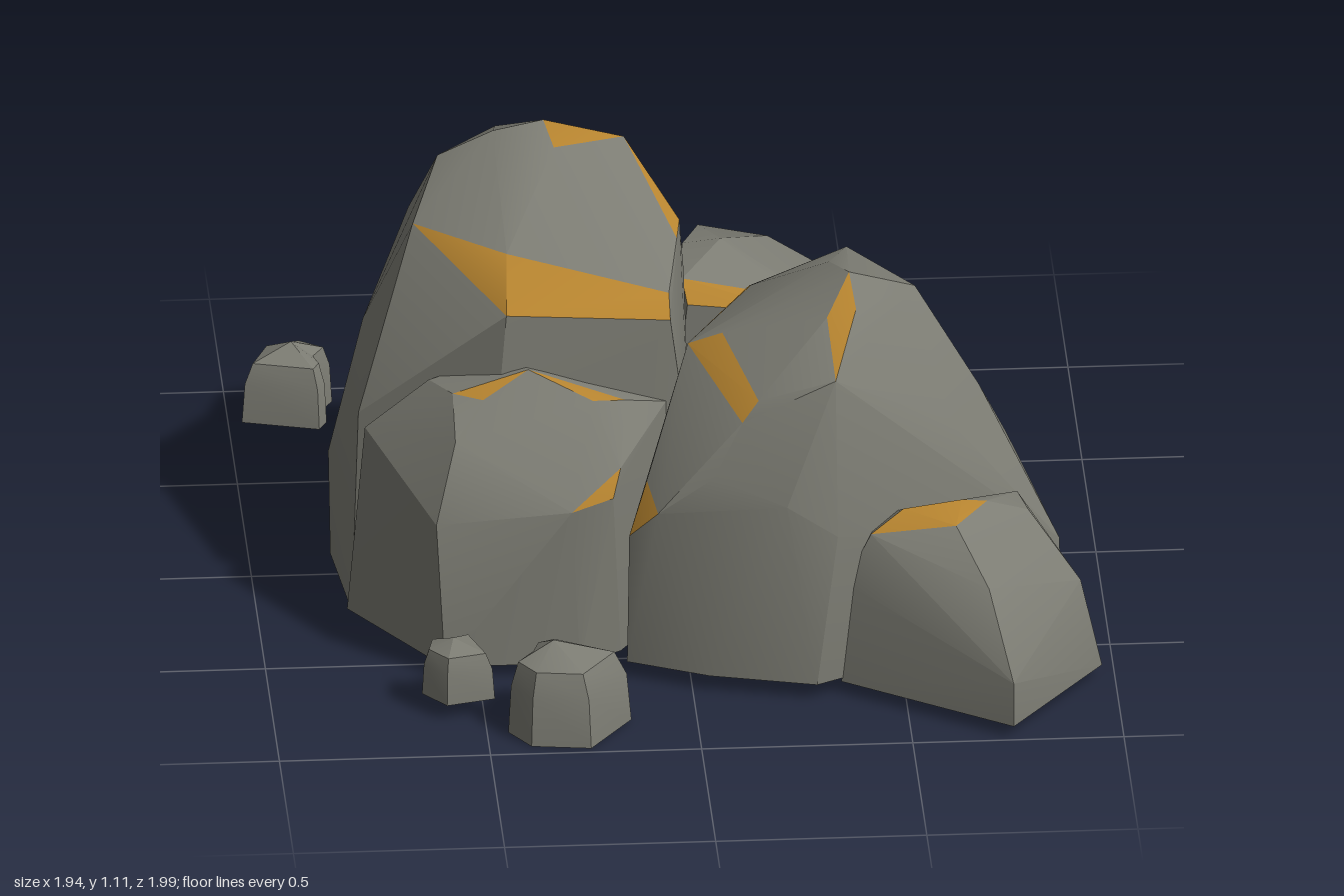
import * as THREE from 'three';
import { ConvexGeometry } from 'three/addons/geometries/ConvexGeometry.js';
import { toCreasedNormals } from 'three/addons/utils/BufferGeometryUtils.js';

const stone = new THREE.MeshStandardMaterial({ color: 0x7c7c73 });
const ochre = new THREE.MeshStandardMaterial({ color: 0xb5832f });
const key = (x, y, z) => [x, y, z].map((v) => Math.round(v * 1000)).join();

// Chiselled boulder: base outline [x, z] at the ground plus body points [x, y, z].
// Facets whose corners all lie on one seam become ochre.
function boulder(name, floor, base, body, seams) {
  const group = new THREE.Group();
  group.name = name;
  const all = [...base.map(([x, z]) => [x, floor, z]), ...body, ...seams.flat()];
  const hull = new ConvexGeometry(all.map((p) => new THREE.Vector3(...p)));
  const geo = toCreasedNormals(hull, 0.42);
  const pos = geo.attributes.position, nor = geo.attributes.normal;
  const sets = seams.map((s) => new Set(s.map((p) => key(...p))));
  const parts = [{ p: [], n: [] }, { p: [], n: [] }];
  for (let i = 0; i < pos.count; i += 3) {
    const tri = [i, i + 1, i + 2];
    const isSeam = sets.some((s) => tri.every((k) => s.has(key(pos.getX(k), pos.getY(k), pos.getZ(k)))));
    const part = parts[isSeam ? 1 : 0];
    for (const k of tri) {
      part.p.push(pos.getX(k), pos.getY(k), pos.getZ(k));
      part.n.push(nor.getX(k), nor.getY(k), nor.getZ(k));
    }
  }
  parts.forEach(({ p, n }, i) => {
    if (!p.length) return;
    const g = new THREE.BufferGeometry();
    g.setAttribute('position', new THREE.Float32BufferAttribute(p, 3));
    g.setAttribute('normal', new THREE.Float32BufferAttribute(n, 3));
    const mesh = new THREE.Mesh(g, i ? ochre : stone);
    mesh.name = name + (i ? 'Seam' : 'Stone');
    group.add(mesh);
  });
  return group;
}

// Notched pebble: an outline [x, z] lofted upward through shrinking rings to an off-centre peak
function pebble(name, y0, height, [px, pz], outline) {
  const rings = [[0, 1], [0.55, 0.94], [0.82, 0.78]].map(([t, s]) =>
    outline.map(([x, z]) => [px + (x - px) * s, y0 + t * height, pz + (z - pz) * s]));
  const top = [px, y0 + height, pz], bottom = [px, y0, pz];
  const v = [];
  outline.forEach((_, i) => {
    const j = (i + 1) % outline.length;
    for (let r = 0; r < 2; r++) {
      const a = rings[r][i], b = rings[r][j], c = rings[r + 1][j], d = rings[r + 1][i];
      v.push(a, d, c, a, c, b);
    }
    v.push(top, rings[2][j], rings[2][i], bottom, rings[0][i], rings[0][j]);
  });
  const g = new THREE.BufferGeometry();
  g.setAttribute('position', new THREE.Float32BufferAttribute(v.flat(), 3));
  const mesh = new THREE.Mesh(toCreasedNormals(g, 0.45), stone);
  mesh.name = name;
  return mesh;
}

export function createModel() {
  const model = new THREE.Group();
  model.name = 'rockCluster';

  // Tall boulder at the back
  model.add(boulder('tallBoulder', 0.03,
    [[-0.81, -0.05], [-0.68, -0.55], [-0.42, -0.6], [0, -0.6], [0, 0.3], [-0.5, 0.38], [-0.78, 0.26]],
    [[-0.69, 0.36, -0.585], [-0.42, 0.42, -0.65], [0, 0.36, -0.65], [0.02, 0.42, 0.3], [0.02, 0.8, 0.05],
      [-0.815, 0.3, -0.05], [-0.76, 0.52, 0.2], [-0.45, 0.5, 0.39], [-0.55, 1.02, -0.15], [-0.4, 0.99, -0.36],
      [-0.1, 0.93, -0.33], [0, 0.68, -0.48], [-0.6, 0.75, -0.43], [-0.73, 0.62, -0.1]],
    [[[-0.62, 0.93, 0.03], [-0.42, 0.84, 0.36], [-0.03, 0.805, 0.335], [-0.03, 0.85, 0.28], [-0.41, 0.935, 0.22]],
      [[-0.42, 1.09, -0.13], [-0.3, 1.11, -0.14], [-0.11, 1.065, -0.13], [0.01, 0.93, 0.05], [0, 0.91, 0.11], [-0.28, 1.075, -0.06]]]));

  // Lower boulder at the front, on the -x side
  model.add(boulder('frontBoulder', 0.03,
    [[-0.79, 0.25], [-0.58, 0.58], [-0.26, 0.58], [-0.16, 0.52], [-0.04, 0.33], [-0.1, 0.2]],
    [[-0.75, 0.52, 0.28], [-0.6, 0.4, 0.575], [-0.55, 0.58, 0.5], [-0.6, 0.65, 0.3], [-0.4, 0.69, 0.25],
      [-0.04, 0.59, 0.33], [-0.1, 0.6, 0.25]],
    [[[-0.55, 0.66, 0.4], [-0.37, 0.71, 0.385], [-0.14, 0.63, 0.4], [-0.22, 0.645, 0.43], [-0.48, 0.655, 0.43]],
      [[-0.28, 0.43, 0.59], [-0.16, 0.51, 0.52], [-0.18, 0.45, 0.56]]]));

  // Large boulder in the middle
  model.add(boulder('middleBoulder', 0.04,
    [[-0.15, 0.6], [0.04, 0.69], [0.29, 0.755], [0.35, 0.72], [0.89, 0.43], [0.78, 0.06], [0.65, -0.09], [0.05, 0], [0, 0.3]],
    [[-0.03, 0.57, 0.54], [0.05, 0.55, 0.675], [0.22, 0.5, 0.74], [0.34, 0.42, 0.74], [0.885, 0.25, 0.43],
      [0.78, 0.38, 0.12], [0.66, 0.36, -0.07], [0.4, 0.6, 0], [0.06, 0.6, 0.03], [0.7, 0.62, 0.35],
      [0.55, 0.87, 0.32], [0.4, 0.89, 0.14], [0.62, 0.6, 0.5], [0.02, 0.5, 0.25]],
    [[[0.17, 0.79, 0.13], [0.01, 0.75, 0.35], [0.12, 0.68, 0.645], [0.16, 0.725, 0.62], [0.09, 0.79, 0.38], [0.17, 0.82, 0.19]],
      [[0.35, 0.92, 0.28], [0.39, 0.94, 0.38], [0.4, 0.89, 0.48], [0.34, 0.79, 0.66], [0.33, 0.88, 0.5]],
      [[-0.145, 0.37, 0.6], [-0.08, 0.45, 0.65], [-0.1, 0.49, 0.55]]]));

  // Small boulder at the front corner
  model.add(boulder('cornerBoulder', 0.03,
    [[0.35, 0.72], [0.74, 0.99], [0.97, 0.67], [0.8, 0.46], [0.42, 0.5]],
    [[0.36, 0.28, 0.7], [0.74, 0.14, 0.985], [0.69, 0.33, 0.86], [0.92, 0.25, 0.66], [0.8, 0.41, 0.6],
      [0.45, 0.38, 0.55], [0.78, 0.41, 0.5], [0.5, 0.25, 0.8]],
    [[[0.42, 0.41, 0.71], [0.5, 0.455, 0.67], [0.64, 0.465, 0.65], [0.7, 0.45, 0.63], [0.62, 0.44, 0.74]]]));

  // Back boulder in two steps: broad foot with a ledge, then the crown
  model.add(boulder('backBoulderFoot', 0.03,
    [[-0.02, 0.02], [0, -0.6], [0.33, -0.62], [0.6, -0.54], [0.63, -0.33], [0.54, 0.02]],
    [[0.02, 0.25, -0.59], [0.35, 0.27, -0.57], [0.53, 0.27, -0.49], [0.58, 0.25, -0.31], [0.5, 0.25, 0],
      [0, 0.5, 0], [0.08, 0.5, -0.52], [0.33, 0.5, -0.49]],
    [[[0.42, 0.5, -0.42], [0.49, 0.47, -0.2], [0.42, 0.49, 0], [0.36, 0.51, -0.2]]]));
  model.add(boulder('backBoulderCrown', 0.42,
    [[0, 0.03], [0.02, -0.54], [0.34, -0.52], [0.42, -0.4], [0.4, 0]],
    [[0.12, 0.785, -0.14], [0.03, 0.77, -0.15], [0.24, 0.72, -0.28], [0.08, 0.72, -0.35],
      [0.35, 0.66, -0.04], [0.36, 0.63, -0.31], [0.16, 0.65, -0.43]],
    [[[0.02, 0.75, 0], [0.03, 0.7, 0.04], [0.3, 0.66, 0.02], [0.28, 0.69, -0.01]]]));

  // Loose pebbles around the cluster
  model.add(
    pebble('backPebbleA', 0.02, 0.18, [-0.85, -0.85],
      [[-0.97, -0.79], [-0.92, -0.91], [-0.82, -0.94], [-0.75, -0.89], [-0.785, -0.83], [-0.77, -0.78], [-0.79, -0.74]]),
    pebble('backPebbleB', 0.02, 0.18, [0.25, -0.88],
      [[0.16, -0.81], [0.17, -0.93], [0.22, -1.0], [0.275, -0.96], [0.36, -0.94], [0.3, -0.77]]),
    pebble('frontPebbleSmall', 0.04, 0.14, [-0.57, 0.73],
      [[-0.645, 0.74], [-0.63, 0.67], [-0.58, 0.67], [-0.52, 0.645], [-0.475, 0.78], [-0.59, 0.81]]),
    pebble('frontPebbleLarge', 0, 0.22, [-0.34, 0.84],
      [[-0.45, 0.88], [-0.4, 0.81], [-0.38, 0.75], [-0.33, 0.73], [-0.155, 0.83], [-0.26, 0.98], [-0.4, 0.96]]));
  return model;
}
